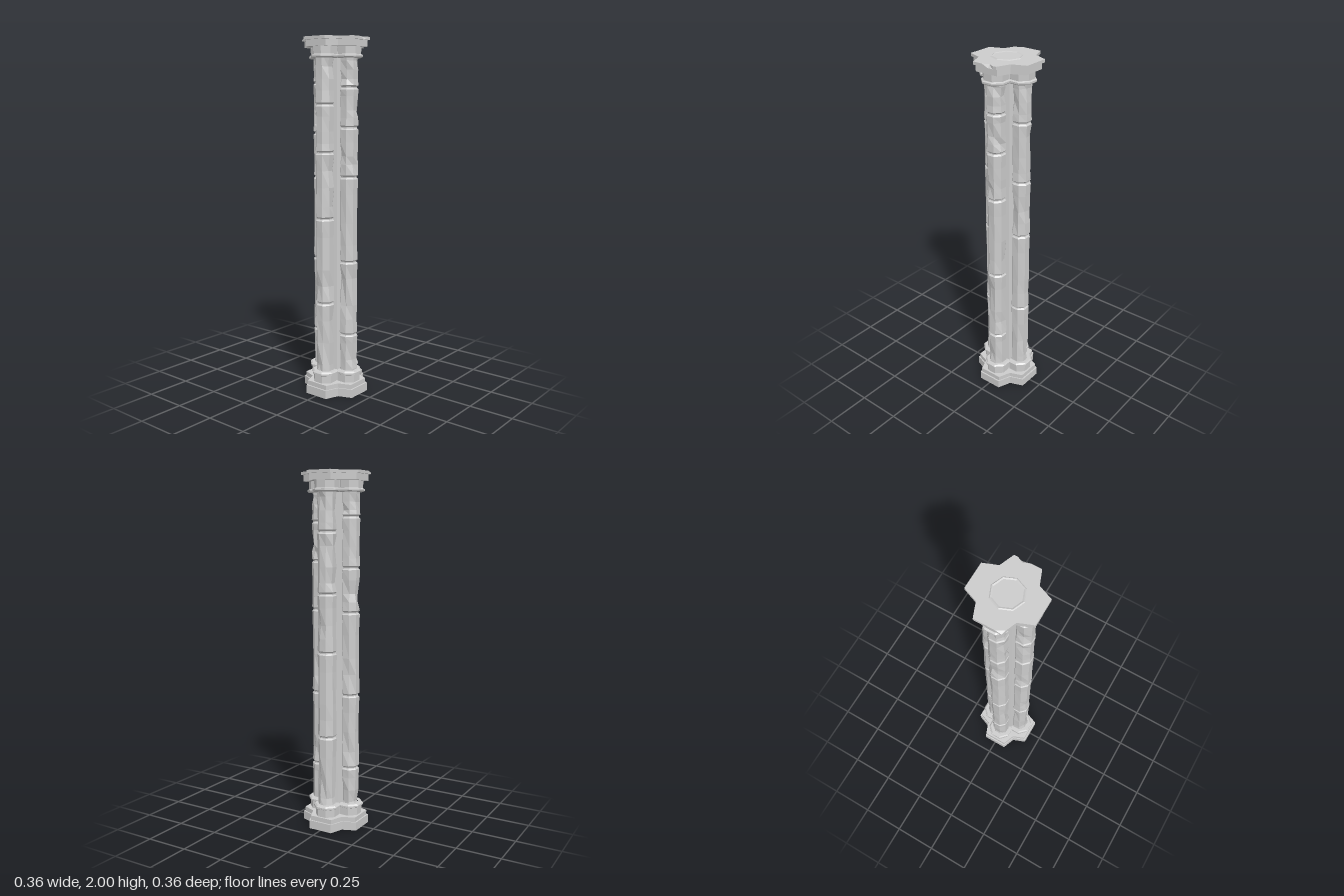
import * as THREE from 'three';

const material = new THREE.MeshStandardMaterial({ color: 0xcccccc, flatShading: true });
const OFFSET = 0.093; // distance of each shaft from the axis

function seeded(seed) {
  let s = seed;
  return () => (s = (s * 16807) % 2147483647) / 2147483647;
}

function addMesh(parent, geometry, name) {
  const flat = geometry.index ? geometry.toNonIndexed() : geometry;
  flat.computeVertexNormals();
  const mesh = new THREE.Mesh(flat, material);
  mesh.name = name;
  parent.add(mesh);
  return mesh;
}

// Eight-sided turned form; profile is [apothem, y] from bottom to top
function octagon(profile, phase = Math.PI / 8) {
  const k = phase ? 1 / Math.cos(Math.PI / 8) : 1;
  return new THREE.LatheGeometry(profile.map(([r, y]) => new THREE.Vector2(r * k, y)), 8, phase);
}

// Cross-shaped slab with splayed arms; extra outline points allow chipped edges
function slab(half, y0, y1, chipped = false) {
  const k = half / 0.179;
  const points = [];
  for (let i = 0; i < 4; i++) {
    const arm = [[0.179, -0.072], [0.179, 0.072], [0.102, 0.102]];
    if (chipped && i === 0) arm.splice(1, 0, [0.179, -0.017], [0.179, 0.022], [0.179, 0.05]);
    if (chipped && i === 2) arm.splice(1, 0, [0.179, -0.072 + 0.04], [0.179, 0.04]);
    if (chipped && i === 2) arm.splice(4, 0, [0.155, 0.081]);
    const c = [1, 0, -1, 0][i], s = [0, 1, 0, -1][i];
    for (const [x, y] of arm) points.push(new THREE.Vector2((x * c - y * s) * k, (x * s + y * c) * k));
  }
  const geometry = new THREE.ExtrudeGeometry(new THREE.Shape(points), { depth: y1 - y0, bevelEnabled: false });
  geometry.rotateX(-Math.PI / 2).translate(0, y0, 0);
  if (chipped) {
    const p = geometry.attributes.position;
    for (let i = 0; i < p.count; i++) {
      if (p.getY(i) < y1 - 1e-4) continue;
      if (Math.hypot(p.getX(i) - 0.179, p.getZ(i) + 0.022) < 0.005) p.setX(i, 0.165);
      if (Math.hypot(p.getX(i) + 0.179, p.getZ(i) - 0.072) < 0.005) p.setY(i, y1 - 0.008);
    }
  }
  return geometry;
}

// Octagonal shaft divided into worn blocks by narrow bevelled joints
function shaft(joints, seed) {
  const rand = seeded(seed);
  const R = 0.05;
  const ends = [0.1, ...joints, 1.92];
  const profile = [];
  const wear = []; // strength of wear on each ring
  const ring = (r, y, w) => { profile.push([r, y]); wear.push(w); };
  for (let i = 0; i < ends.length - 1; i++) {
    const a = ends[i], b = ends[i + 1], h = b - a;
    ring(R - 0.008, a + 0.003, 0);
    ring(R, a + 0.011, 0.15);
    for (const t of [0.22, 0.45, 0.75]) ring(R - 0.001, a + h * (t + (rand() - 0.5) * 0.1), 1);
    ring(R, b - 0.011, 0.15);
    ring(R - 0.008, b - 0.003, 0);
  }
  const geometry = octagon(profile);
  const p = geometry.attributes.position;
  const n = profile.length;
  for (let j = 0; j < n; j++) {
    for (let i = 0; i < 8; i++) {
      const chip = rand() < 0.12 ? 0.011 : rand() * 0.004;
      const scale = 1 - (chip * wear[j]) / R;
      for (const seg of i === 0 ? [0, 8] : [i]) {
        const v = seg * n + j;
        p.setX(v, p.getX(v) * scale);
        p.setZ(v, p.getZ(v) * scale);
      }
    }
  }
  return geometry;
}

export function createModel() {
  const pillar = new THREE.Group();
  pillar.name = 'pillar';

  // Central core, its bevelled end showing in the top slab
  addMesh(pillar, octagon([[0.084, 0.03], [0.084, 1.98], [0.088, 1.995], [0.081, 2], [0.073, 1.997], [0, 1.997]], 0), 'core');

  // Stepped cross-shaped slabs
  addMesh(pillar, slab(0.176, 0, 0.048), 'baseSlab');
  addMesh(pillar, slab(0.167, 0.048, 0.074), 'baseStep');
  addMesh(pillar, slab(0.166, 1.945, 1.98), 'capStep');
  addMesh(pillar, slab(0.179, 1.98, 1.996, true), 'capSlab');

  // Four shafts, each with its own joint heights, and moulded collars
  const shafts = [
    ['front', 0, 1, [0.535, 1.015, 1.38, 1.64]],
    ['back', 0, -1, [0.535, 1.015, 1.34, 1.675]],
    ['left', 1, 0, [0.35, 0.77, 1.245, 1.515, 1.73]],
    ['right', -1, 0, [0.35, 0.77, 1.235, 1.48, 1.755]],
  ];
  const baseCollar = [[0.063, 0.07], [0.063, 0.117], [0.072, 0.122], [0.072, 0.132], [0.064, 0.14], [0.045, 0.14]];
  const capCollar = [[0.045, 1.885], [0.064, 1.885], [0.071, 1.891], [0.071, 1.9], [0.062, 1.905], [0.064, 1.947]];
  shafts.forEach(([side, x, z, joints], i) => {
    const group = new THREE.Group();
    group.name = side + 'Column';
    group.position.set(x * OFFSET, 0, z * OFFSET);
    addMesh(group, shaft(joints, 1237 + i * 7919), 'shaft');
    addMesh(group, octagon(baseCollar), 'baseCollar');
    addMesh(group, octagon(capCollar), 'capCollar');
    pillar.add(group);
  });

  return pillar;
}
